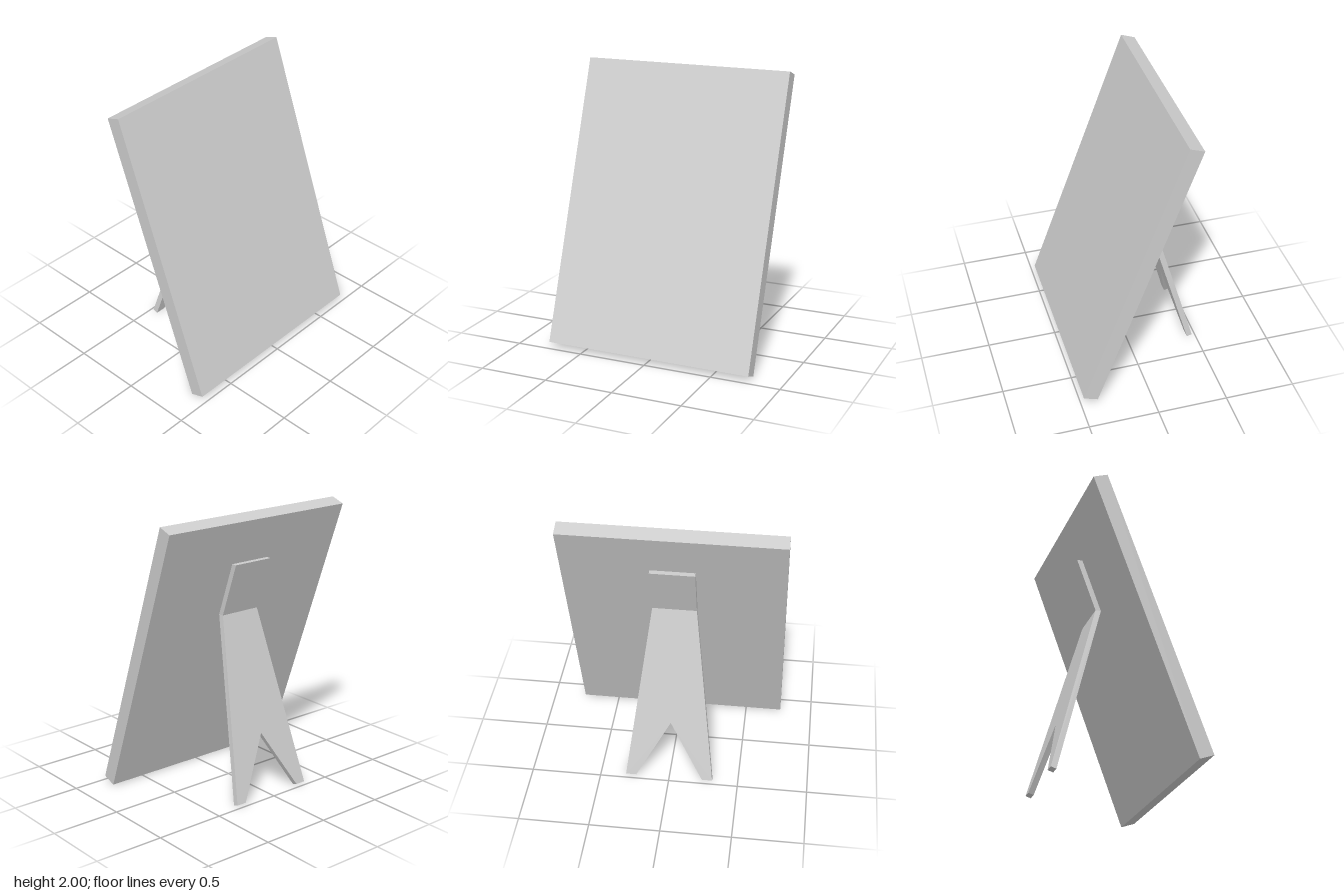
import * as THREE from 'three';

const grey = new THREE.MeshStandardMaterial({ color: 0xcccccc, flatShading: true });

// Extrudes an outline (x, v with v from 0 to 1) and leans it onto a side profile.
// Each profile corner is [z, y]; v runs bottom to top, depth runs back to front.
function slab(name, outline, { backBottom, backTop, frontBottom, frontTop }) {
  const shape = new THREE.Shape(outline.map(([x, v]) => new THREE.Vector2(x, v)));
  const geo = new THREE.ExtrudeGeometry(shape, { depth: 1, bevelEnabled: false });
  const pos = geo.attributes.position;
  const mix = THREE.MathUtils.lerp;
  for (let i = 0; i < pos.count; i++) {
    const v = pos.getY(i), w = pos.getZ(i);
    const [z, y] = [0, 1].map((k) =>
      mix(mix(backBottom[k], backTop[k], v), mix(frontBottom[k], frontTop[k], v), w));
    pos.setXYZ(i, pos.getX(i), y, z);
  }
  geo.computeVertexNormals();
  const mesh = new THREE.Mesh(geo, grey);
  mesh.name = name;
  return mesh;
}

const rectangle = (h) => [[-h, 0], [h, 0], [h, 1], [-h, 1]];

export function createModel() {
  const group = new THREE.Group();
  group.name = 'pictureFrame';

  // Leaning picture panel
  group.add(slab('panel', rectangle(0.765), {
    backBottom: [0.375, 0.004], backTop: [-0.338, 1.965],
    frontBottom: [0.475, 0.04], frontTop: [-0.238, 2],
  }));

  // Mounting plate flat against the panel's back
  const bendBack = [-0.126, 1.272], bendFront = [-0.086, 1.272];
  const stand = new THREE.Group();
  stand.name = 'stand';
  stand.add(slab('mountingPlate', rectangle(0.155), {
    backBottom: bendBack, backTop: [-0.265, 1.655],
    frontBottom: bendFront, frontTop: [-0.225, 1.655],
  }));

  // Flared leg with a V notch forming two feet
  const legOutline = [
    [-0.315, 0], [-0.24, 0], [0, 0.335], [0.24, 0], [0.315, 0], [0.155, 1], [-0.155, 1],
  ];
  stand.add(slab('leg', legOutline, {
    backBottom: [-0.475, 0.012], backTop: bendBack,
    frontBottom: [-0.437, 0], frontTop: bendFront,
  }));
  group.add(stand);
  return group;
}
